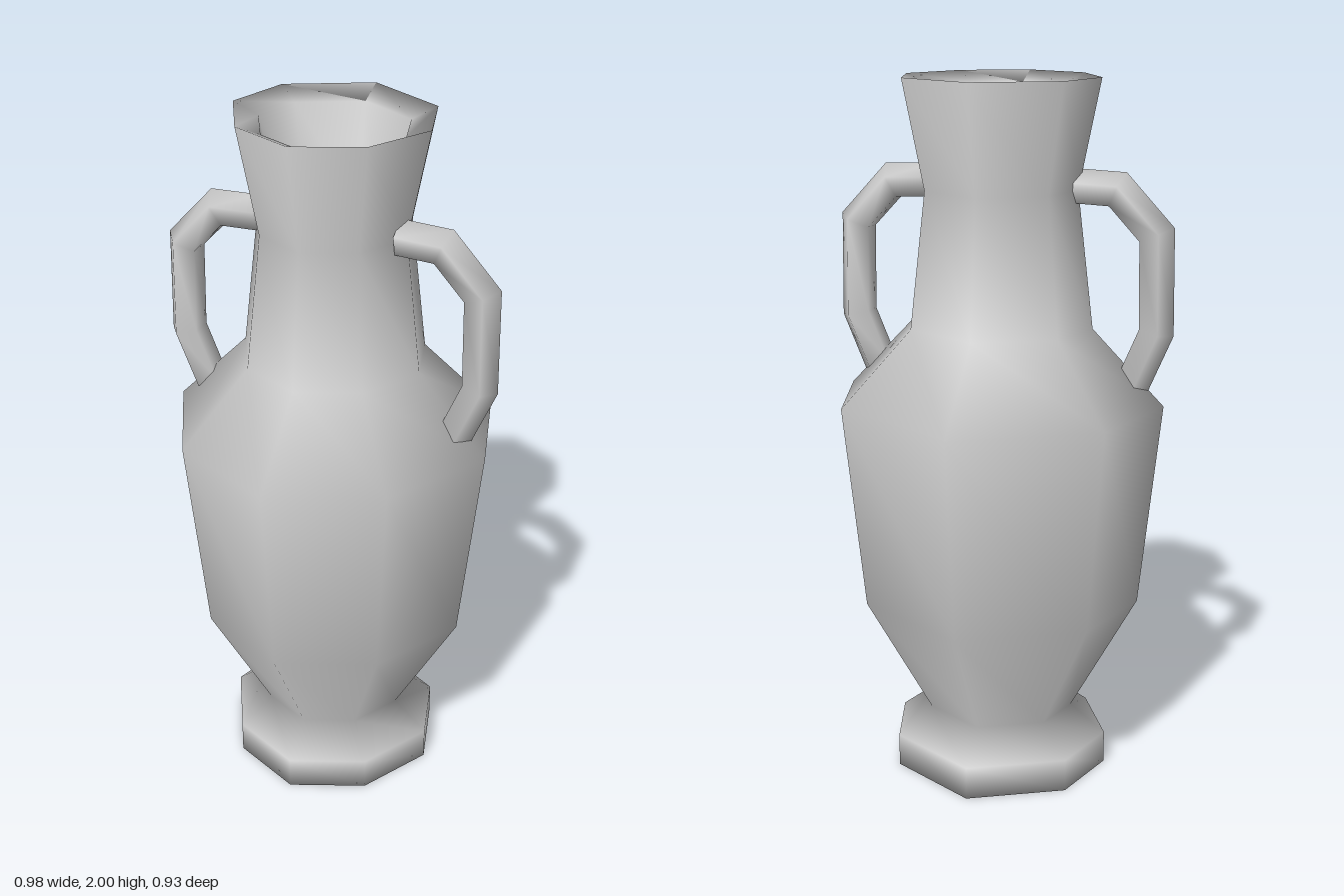
import * as THREE from 'three';
import { mergeVertices } from 'three/addons/utils/BufferGeometryUtils.js';

// Skin a closed smooth surface over rings of points (counter-clockwise about the path).
function loft(rings) {
  const n = rings[0].length;
  const position = rings.flat(2);
  const index = [];
  for (let r = 0; r < rings.length - 1; r++) {
    for (let i = 0; i < n; i++) {
      const a = r * n + i, b = r * n + (i + 1) % n;
      index.push(a, b, a + n, b, b + n, a + n);
    }
  }
  let geometry = new THREE.BufferGeometry();
  geometry.setAttribute('position', new THREE.Float32BufferAttribute(position, 3));
  geometry.setIndex(index);
  geometry = mergeVertices(geometry, 1e-4);
  geometry.computeVertexNormals();
  return geometry;
}

// Slightly uneven eight-sided plan, as [x, z] at unit radius
const half = [[0.65, 0.71], [1, 0.07], [0.805, -0.58]];
const plan = [[0, 0.99], ...half, [0, -1], ...half.map(([x, z]) => [-x, z]).reverse()];

// Radius and height from the underside, up the outside and down into the mouth
const profile = [
  [0, 0], [0.317, 0], [0.317, 0.095], [0.215, 0.175], [0.405, 0.525],
  [0.465, 1.11], [0.262, 1.32], [0.217, 1.7], [0.277, 2],
  [0.206, 1.97], [0.15, 1.7], [0, 1.52],
];

function makeBody() {
  return loft(profile.map(([r, y]) => plan.map(([x, z]) => [x * r, y, z * r])));
}

// Five-sided handle swept along a bent path with mitred joints
const handlePath = [[0.2, 1.708], [0.325, 1.703], [0.433, 1.588], [0.438, 1.322], [0.375, 1.172]];

function makeHandle(side) {
  const sides = 5, radius = 0.05, zCentre = 0.027;
  const path = handlePath.map(([x, y]) => new THREE.Vector2(side * x, y));
  const ring = (k, size) => {
    const p = path[k];
    const before = p.clone().sub(path[Math.max(k - 1, 0)]).normalize();
    const after = path[Math.min(k + 1, path.length - 1)].clone().sub(p).normalize();
    const t = before.clone().add(after).normalize();
    const inner = k > 0 && k < path.length - 1;
    const mitre = inner ? 1 / t.dot(after) : 1;
    return Array.from({ length: sides }, (_, i) => {
      const angle = (i / sides) * Math.PI * 2;
      const u = side * Math.cos(angle) * size * mitre;
      const v = side * Math.sin(angle) * size;
      return [p.x - t.y * u, p.y + t.x * u, zCentre + v];
    });
  };
  const last = path.length - 1;
  return loft([ring(0, 0), ...path.map((_, k) => ring(k, radius)), ring(last, 0)]);
}

export function createModel() {
  const model = new THREE.Group();
  model.name = 'vase';
  const clay = new THREE.MeshStandardMaterial({ color: 0xcccccc });
  clay.name = 'pale grey clay';

  const add = (name, geometry) => {
    const mesh = new THREE.Mesh(geometry, clay);
    mesh.name = name;
    model.add(mesh);
  };
  add('body', makeBody());
  add('leftHandle', makeHandle(1));
  add('rightHandle', makeHandle(-1));
  return model;
}
